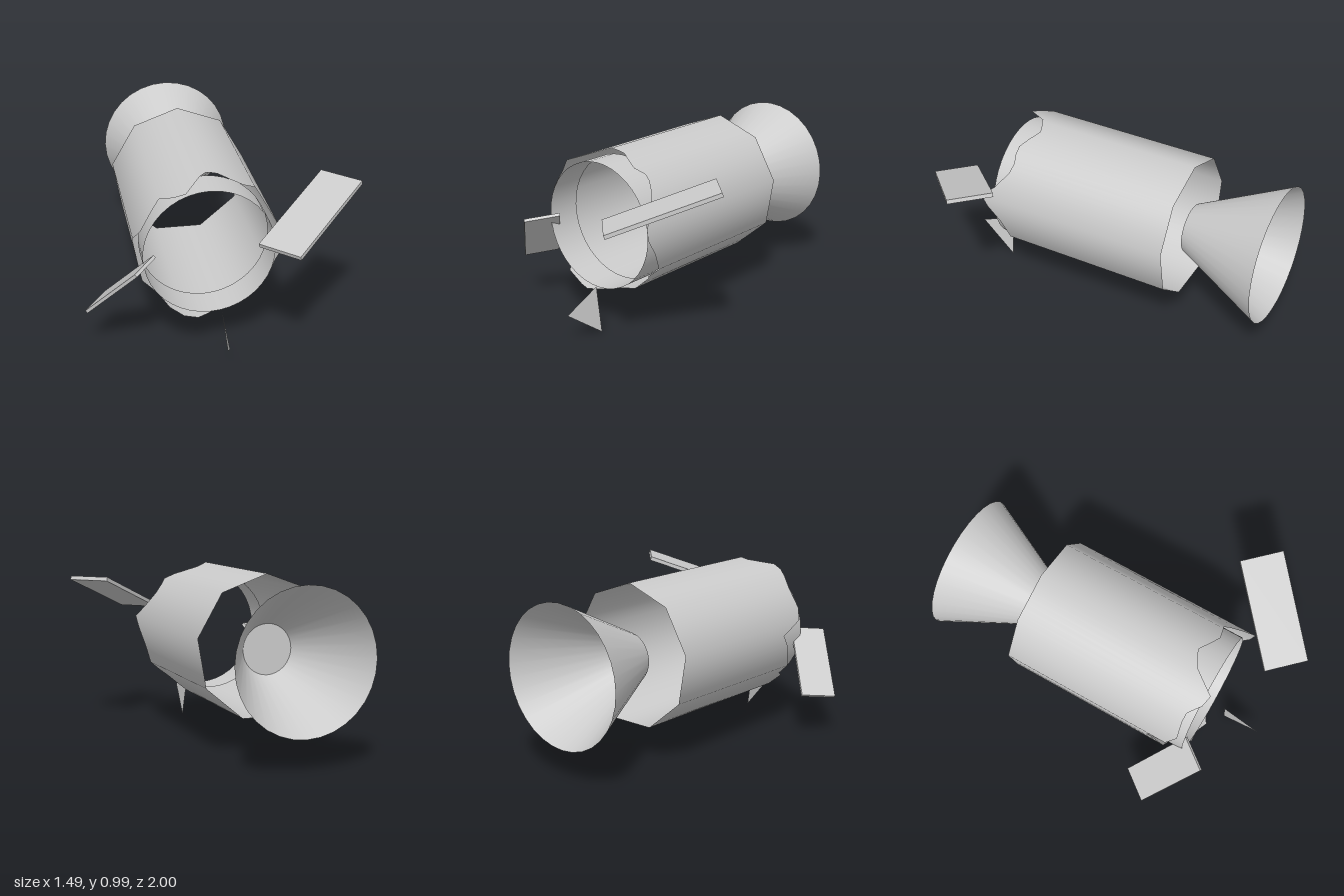
import * as THREE from 'three';

const solid = new THREE.MeshStandardMaterial({ color: 0xcccccc });
const thin = new THREE.MeshStandardMaterial({ color: 0xcccccc, side: THREE.DoubleSide });
const CX = -0.08, CY = 0.58, R = 0.405, SIDES = 9, BACK = -0.48;

// Torn front rim: [angle in degrees from +x towards +y, z of the edge]
const rim = [
  [0, 0.645], [10, 0.67], [20, 0.6], [35, 0.53], [45, 0.51], [60, 0.53], [70, 0.5],
  [80, 0.465], [85, 0.475], [95, 0.51], [105, 0.6], [110, 0.645], [120, 0.63], [130, 0.575],
  [140, 0.57], [160, 0.58], [170, 0.53], [180, 0.41], [190, 0.46], [210, 0.5], [225, 0.53],
  [235, 0.62], [250, 0.61], [260, 0.64], [270, 0.6], [280, 0.52], [290, 0.475], [310, 0.48],
  [320, 0.54], [330, 0.52], [345, 0.57], [360, 0.645],
];

function rimZ(deg) {
  const i = rim.findIndex(([end]) => end > deg);
  const [d0, z0] = rim[i - 1], [d1, z1] = rim[i];
  return THREE.MathUtils.mapLinear(deg, d0, d1, z0, z1);
}

// Radius of a nine-sided section with one corner on top
function hullRadius(deg) {
  const step = 360 / SIDES;
  const off = THREE.MathUtils.euclideanModulo(deg - 90, step) - step / 2;
  return R * Math.cos(Math.PI / SIDES) / Math.cos(THREE.MathUtils.degToRad(off));
}

function add(parent, name, geometry, material = solid) {
  const mesh = new THREE.Mesh(geometry, material);
  mesh.name = name;
  parent.add(mesh);
}

// Smooth-shaded wall between the straight open back edge and the torn rim
function hullWall() {
  const pos = [], normal = [], index = [], n = 72;
  for (let i = 0; i < n; i++) {
    const deg = i * 360 / n, a = THREE.MathUtils.degToRad(deg), r = hullRadius(deg);
    const nx = Math.cos(a), ny = Math.sin(a);
    const x = CX + r * nx, y = CY + r * ny;
    pos.push(x, y, BACK, x, y, rimZ(deg));
    normal.push(nx, ny, 0, nx, ny, 0);
    const b = 2 * i, c = 2 * ((i + 1) % n);
    index.push(b, c, c + 1, b, c + 1, b + 1);
  }
  const g = new THREE.BufferGeometry();
  g.setAttribute('position', new THREE.Float32BufferAttribute(pos, 3));
  g.setAttribute('normal', new THREE.Float32BufferAttribute(normal, 3));
  g.setIndex(index);
  return g;
}

// Flat plate from one corner and two neighbouring corners, thickened by t
function plate(corner, cornerU, cornerV, t) {
  const p = new THREE.Vector3(...corner);
  const u = new THREE.Vector3(...cornerU).sub(p);
  const v = new THREE.Vector3(...cornerV).sub(p);
  const w = u.clone().cross(v).normalize().multiplyScalar(t);
  const m = new THREE.Matrix4().makeBasis(u, v, w).setPosition(p);
  const g = new THREE.BoxGeometry(1, 1, 1).translate(0.5, 0.5, 0.5).applyMatrix4(m).toNonIndexed();
  g.computeVertexNormals();
  return g;
}

export function createModel() {
  const model = new THREE.Group();
  model.name = 'wreckedModule';

  // Hull tube, open at both ends
  add(model, 'hullWall', hullWall(), thin);

  // Short liner ring inside the torn mouth
  add(model, 'linerRing', new THREE.CylinderGeometry(0.357, 0.357, 0.205, 40, 1, true)
    .rotateX(Math.PI / 2).translate(CX, 0.574, 0.514), thin);

  // Engine bell with its closed throat
  const nozzle = new THREE.Group();
  nozzle.name = 'nozzle';
  nozzle.position.set(CX, 0.574, 0);
  model.add(nozzle);
  add(nozzle, 'nozzleBell', new THREE.CylinderGeometry(0.141, 0.394, 0.52, 32, 1, true)
    .rotateX(Math.PI / 2).translate(0, 0, -0.74), thin);
  add(nozzle, 'nozzleThroat', new THREE.CircleGeometry(0.141, 32).translate(0, 0, BACK), thin);

  // Drifting plates
  add(model, 'leftPlate',
    plate([0.137, 0.708, 0.815], [0.567, 0.916, 0.41], [0.312, 0.708, 0.995], 0.023));
  add(model, 'rightPlate',
    plate([-0.488, 0.55, 0.772], [-0.368, 0.57, 0.612], [-0.735, 0.232, 0.545], 0.018));

  // Thin triangular shard below the mouth
  const shard = new THREE.BufferGeometry().setFromPoints([
    new THREE.Vector3(-0.028, 0.258, 0.693),
    new THREE.Vector3(-0.028, 0.16, 0.92),
    new THREE.Vector3(0.007, 0, 0.693),
  ]);
  shard.computeVertexNormals();
  add(model, 'shard', shard, thin);

  return model;
}
